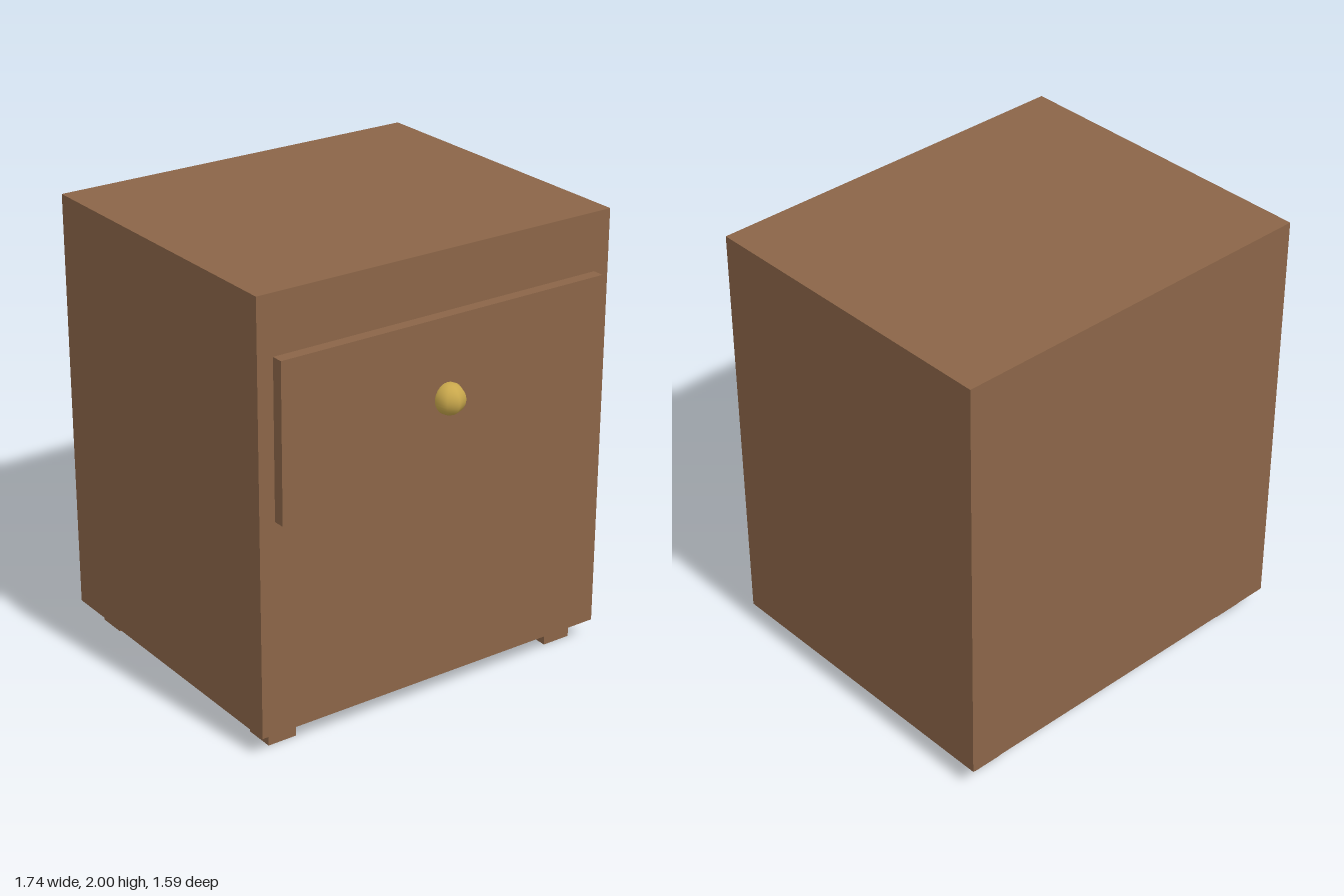
import * as THREE from 'three';

export function createModel() {
  const group = new THREE.Group();
  const wood = new THREE.MeshStandardMaterial({ color: 0x8b6548 });
  wood.name = 'wood';
  const brass = new THREE.MeshStandardMaterial({ color: 0xc9a84c });
  brass.name = 'brass';

  const addBox = (name, size, position) => {
    const mesh = new THREE.Mesh(new THREE.BoxGeometry(...size), wood);
    mesh.name = name;
    mesh.position.set(...position);
    group.add(mesh);
  };

  // Cabinet body
  const centreZ = -0.068;
  addBox('body', [1.74, 1.91, 1.458], [0, 1.045, centreZ]);

  // Raised drawer front
  addBox('drawerFront', [1.594, 0.695, 0.053], [0, 1.393, 0.6875]);

  // Round knob, partly sunk into the drawer
  const knob = new THREE.Mesh(new THREE.SphereGeometry(0.068, 8, 16), brass);
  knob.name = 'drawerKnob';
  knob.position.set(0, 1.393, 0.729);
  group.add(knob);

  // Four square feet
  for (const [side, sx] of [['Left', 1], ['Right', -1]]) {
    for (const [end, sz] of [['front', 1], ['back', -1]]) {
      addBox(`${end}${side}Foot`, [0.136, 0.09, 0.136], [sx * 0.729, 0.045, centreZ + sz * 0.593]);
    }
  }
  return group;
}
